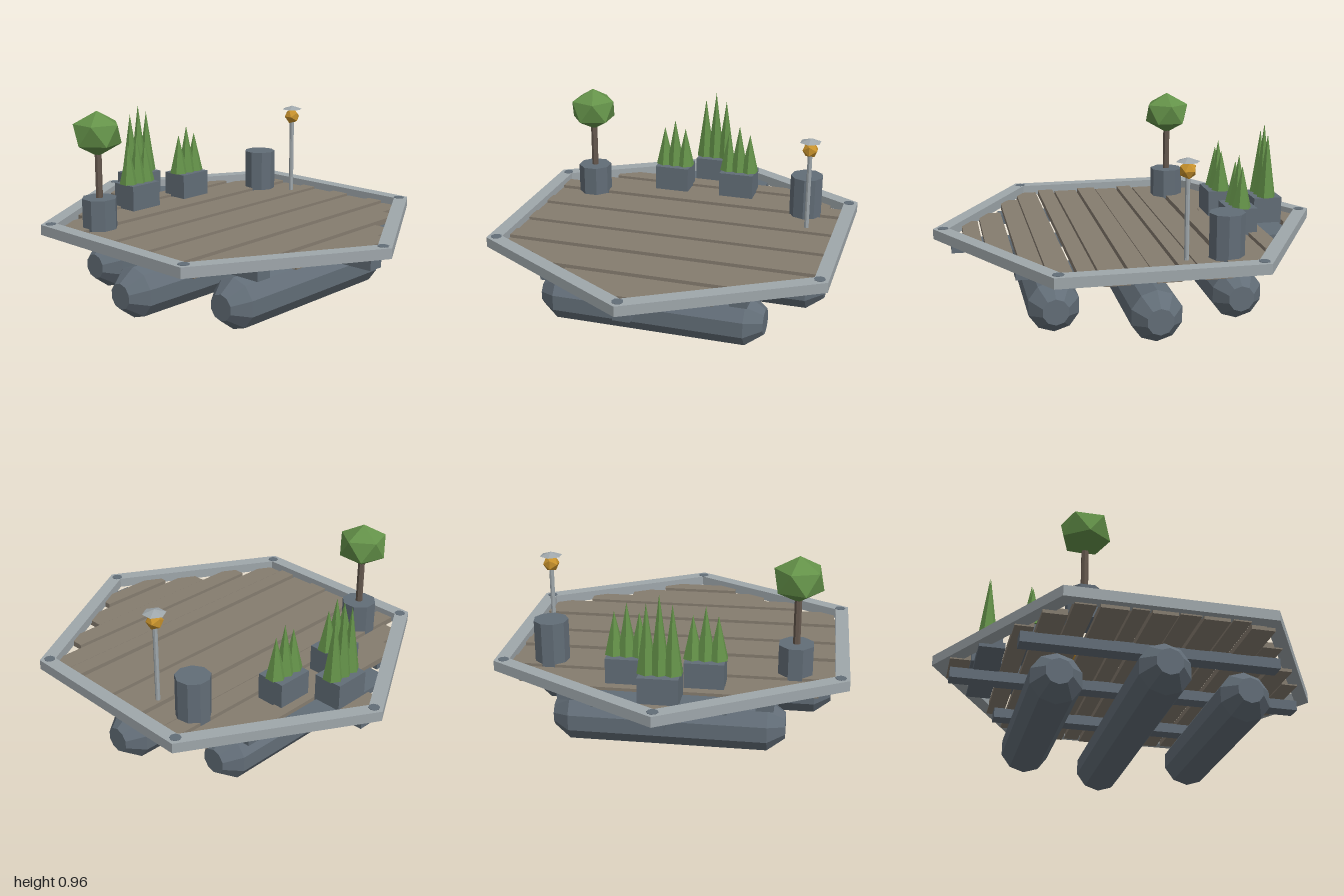
import * as THREE from 'three';

const mat = (name, color, flatShading = true) => {
  const m = new THREE.MeshStandardMaterial({ color, flatShading });
  m.name = name;
  return m;
};

export function createModel() {
  const root = new THREE.Group();
  root.name = 'floatingDeck';
  const rim = mat('pale metal', 0x9fa7ab);
  const slate = mat('slate', 0x626d77);
  const wood = mat('weathered wood', 0x857c6f);
  const leaf = mat('leaf green', 0x649249);
  const bark = mat('bark', 0x65584e);
  const gold = mat('lamp gold', 0xc8922c);

  const add = (name, geo, material, x = 0, y = 0, z = 0, parent = root) => {
    const m = new THREE.Mesh(geo, material);
    m.name = name;
    m.position.set(x, y, z);
    parent.add(m);
    return m;
  };
  const box = (w, h, d) => new THREE.BoxGeometry(w, h, d);
  const cyl = (r1, r2, h, n) => new THREE.CylinderGeometry(r1, r2, h, n);

  // Hexagonal rim
  const hex = (r) => Array.from({ length: 6 }, (_, i) => {
    const a = Math.PI / 2 + i * Math.PI / 3;
    return new THREE.Vector2(r * Math.cos(a), r * Math.sin(a));
  });
  const shape = new THREE.Shape(hex(1));
  shape.holes.push(new THREE.Path(hex(0.92)));
  const rimGeo = new THREE.ExtrudeGeometry(shape, { depth: 0.052, bevelEnabled: false });
  rimGeo.rotateX(-Math.PI / 2);
  add('rim', rimGeo, rim, 0, 0.345, 0);

  // Flush corner bolts
  for (const p of hex(0.95)) add('cornerBolt', cyl(0.028, 0.028, 0.05, 8), slate, p.x, 0.374, p.y);

  // Planks: [z start, z end, half width], every second one slightly raised
  const planks = [
    [-0.92, -0.82, 0.12], [-0.8, -0.675, 0.313], [-0.665, -0.575, 0.55], [-0.565, -0.45, 0.72],
    [-0.44, -0.34, 0.82], [-0.325, -0.195, 0.83], [-0.18, -0.1, 0.83], [-0.09, 0.03, 0.83],
    [0.04, 0.14, 0.83], [0.15, 0.275, 0.83], [0.29, 0.375, 0.83], [0.39, 0.505, 0.79],
    [0.515, 0.615, 0.6], [0.63, 0.75, 0.385], [0.765, 0.85, 0.21],
  ];
  planks.forEach(([a, b, w], i) => {
    const lift = i % 2 ? 0 : 0.01;
    add('plank', box(2 * w, 0.03, b - a), i === 1 ? slate : wood, 0, 0.343 + lift, (a + b) / 2);
  });

  // Joists under the deck
  for (const [x, half] of [[-0.475, 0.635], [0, 0.913], [0.475, 0.635]])
    add('joist', box(0.084, 0.054, 2 * half), slate, x, 0.303, 0);

  // Pontoons with tapered ends
  for (const [z, half] of [[-0.455, 0.57], [0, 0.787], [0.455, 0.57]]) {
    const s = half - 0.085;
    const profile = [[0, -half], [0.065, -half], [0.128, -s], [0.128, s], [0.065, half], [0, half]];
    const g = new THREE.LatheGeometry(profile.map(([r, y]) => new THREE.Vector2(r, y)), 10);
    g.rotateZ(Math.PI / 2);
    g.rotateX(Math.PI / 2);
    add('pontoon', g, slate, 0, 0.122, z);
  }

  // Planters with three pointed shrubs each
  for (const [x, z, tall] of [[0, -0.74, 0.38], [-0.187, -0.545, 0.26], [0.187, -0.545, 0.26]]) {
    const g = new THREE.Group();
    g.name = 'planter';
    g.position.set(x, 0.35, z);
    root.add(g);
    add('planterBox', box(0.19, 0.143, 0.15), slate, 0, 0.0715, 0, g);
    for (const k of [-1, 0, 1]) {
      const h = tall - Math.abs(k) * 0.045;
      add('shrub', new THREE.ConeGeometry(0.05, h, 6), leaf, k * 0.06, 0.143 + h / 2, 0, g);
    }
  }

  // Potted tree
  const tree = new THREE.Group();
  tree.name = 'tree';
  tree.position.set(-0.605, 0.35, -0.357);
  root.add(tree);
  const pot = add('pot', cyl(0.09, 0.09, 0.165, 8), slate, 0, 0.0825, 0, tree);
  pot.rotation.y = Math.PI / 8;
  add('trunk', cyl(0.018, 0.018, 0.26, 7), bark, 0, 0.275, 0, tree);
  const crown = new THREE.IcosahedronGeometry(0.133, 0);
  crown.rotateZ(-Math.atan(2 / (1 + Math.sqrt(5))));
  crown.scale(1, 0.86, 1);
  add('crown', crown, leaf, 0, 0.49, 0, tree);

  // Barrel
  add('barrel', cyl(0.087, 0.087, 0.228, 9), slate, 0.605, 0.464, -0.36);

  // Lamp post
  const lamp = new THREE.Group();
  lamp.name = 'lampPost';
  lamp.position.set(0.647, 0.35, -0.153);
  root.add(lamp);
  add('pole', cyl(0.012, 0.012, 0.42, 8), rim, 0, 0.21, 0, lamp);
  add('lampGlobe', new THREE.IcosahedronGeometry(0.043, 0), gold, 0, 0.448, 0, lamp);
  add('lampCap', new THREE.ConeGeometry(0.057, 0.02, 6), rim, 0, 0.499, 0, lamp);

  return root;
}
